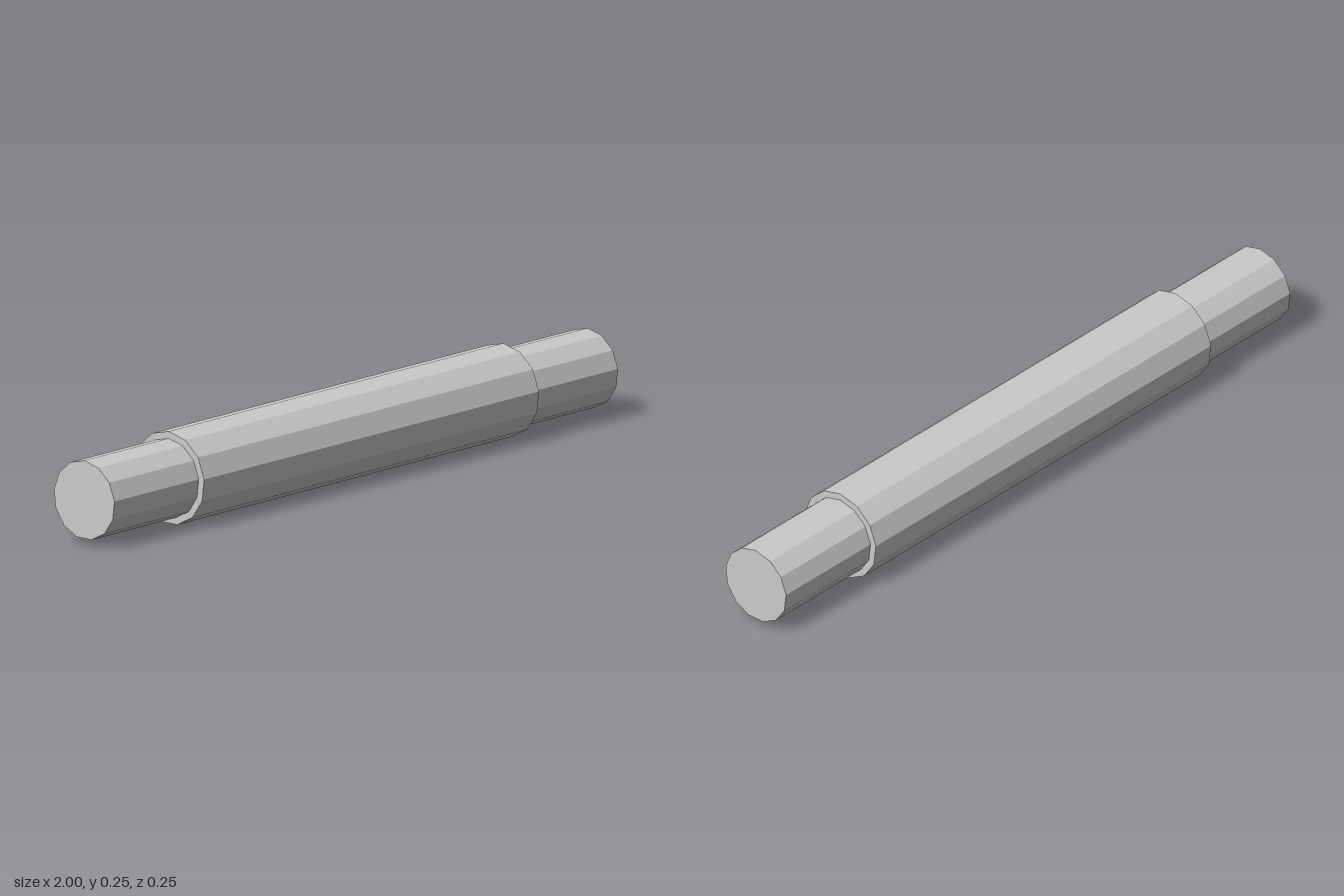
import * as THREE from 'three';

const SIDES = 13;
const AXIS_Y = 0.123;

// Faceted bar along x with one corner pointing straight up
function bar(name, radius, length, material) {
  const geometry = new THREE.CylinderGeometry(radius, radius, length, SIDES);
  geometry.rotateZ(Math.PI / 2).rotateX(-Math.PI / 2);
  const mesh = new THREE.Mesh(geometry, material);
  mesh.name = name;
  mesh.position.y = AXIS_Y;
  return mesh;
}

export function createModel() {
  const group = new THREE.Group();
  group.name = 'sleevedRod';
  const material = new THREE.MeshStandardMaterial({ color: 0xcccccc, flatShading: true });

  // Thick sleeve in the middle
  const sleeveLength = 1.33;
  group.add(bar('sleeve', 0.126, sleeveLength, material));

  // Thinner rod ends, mirrored left and right
  const endLength = 1 - sleeveLength / 2;
  for (const side of [1, -1]) {
    const end = bar(side > 0 ? 'leftEnd' : 'rightEnd', 0.107, endLength, material);
    end.position.x = side * (1 - endLength / 2);
    group.add(end);
  }
  return group;
}
